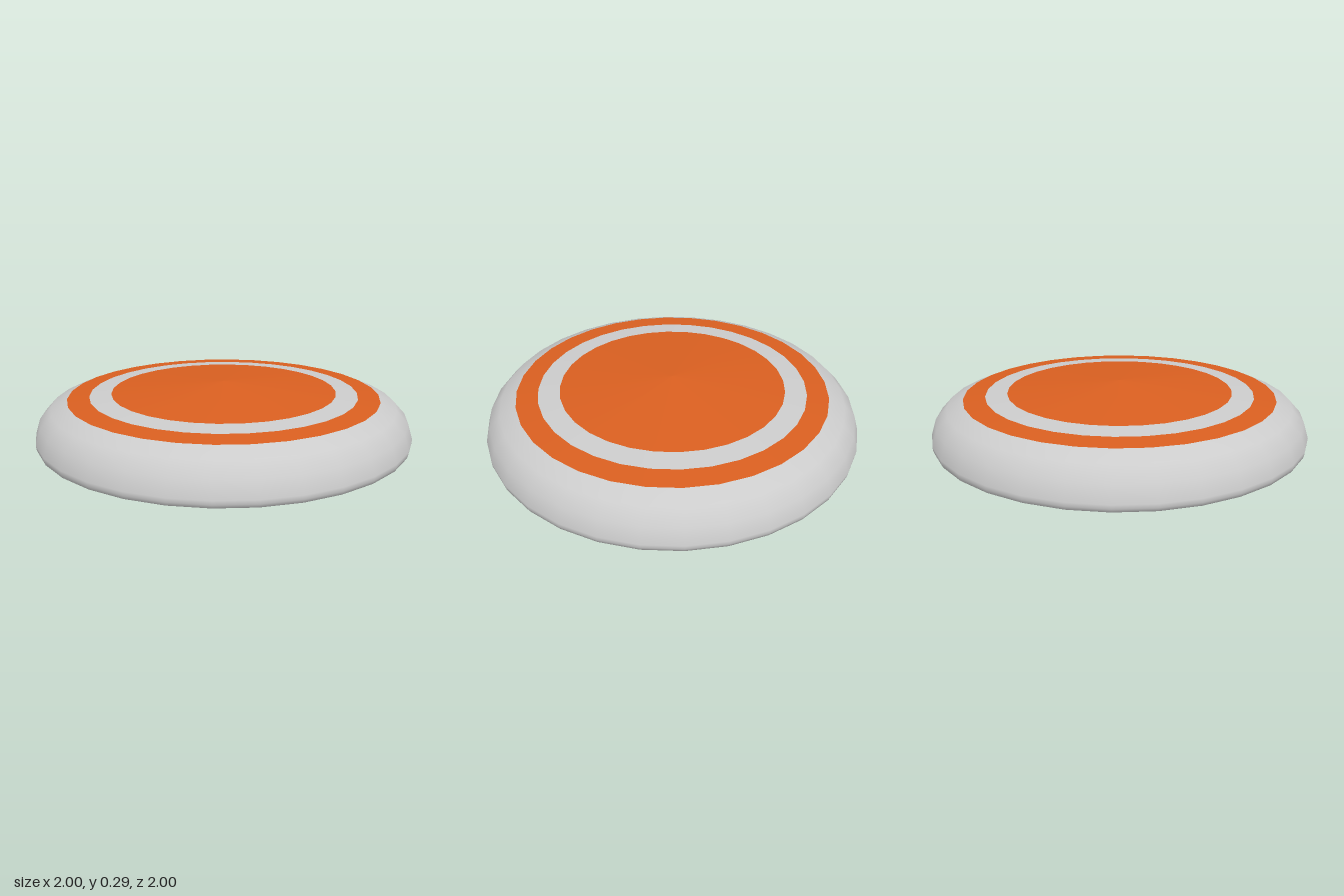
import * as THREE from 'three';

const SIDES = 32;
const GREY = 0xcccccc;
const ORANGE = 0xd95f20;

// Height of the shallow conical top at radius r
const topHeight = (r) => 0.29 - 0.082 * r;

function lathe(name, profile, color) {
  const points = profile.map(([r, y]) => new THREE.Vector2(r, y));
  const material = new THREE.MeshStandardMaterial({ color });
  const mesh = new THREE.Mesh(new THREE.LatheGeometry(points, SIDES), material);
  mesh.name = name;
  return mesh;
}

// Band of the top surface between two radii
const band = (name, outer, inner, color) =>
  lathe(name, [[outer, topHeight(outer)], [inner, topHeight(inner)]], color);

export function createModel() {
  const disc = new THREE.Group();
  disc.name = 'flyingDisc';

  // Rounded outer rim, from the lip up to the top
  disc.add(lathe('rim', [
    [0.98, 0], [0.992, 0.003], [0.998, 0.02], [1, 0.04],
    [0.975, 0.12], [0.915, 0.185], [0.83, topHeight(0.83)],
  ], GREY));

  // Top: orange ring, grey ring, orange centre
  disc.add(band('outerStripe', 0.83, 0.715, ORANGE));
  disc.add(band('middleStripe', 0.715, 0.6, GREY));
  disc.add(band('centre', 0.6, 0, ORANGE));

  // Hollow underside, from the middle down to the lip
  disc.add(lathe('underside', [
    [0, 0.28], [0.825, 0.212], [0.907, 0.178], [0.965, 0.115],
    [0.988, 0.04], [0.985, 0.02], [0.98, 0],
  ], GREY));

  return disc;
}
